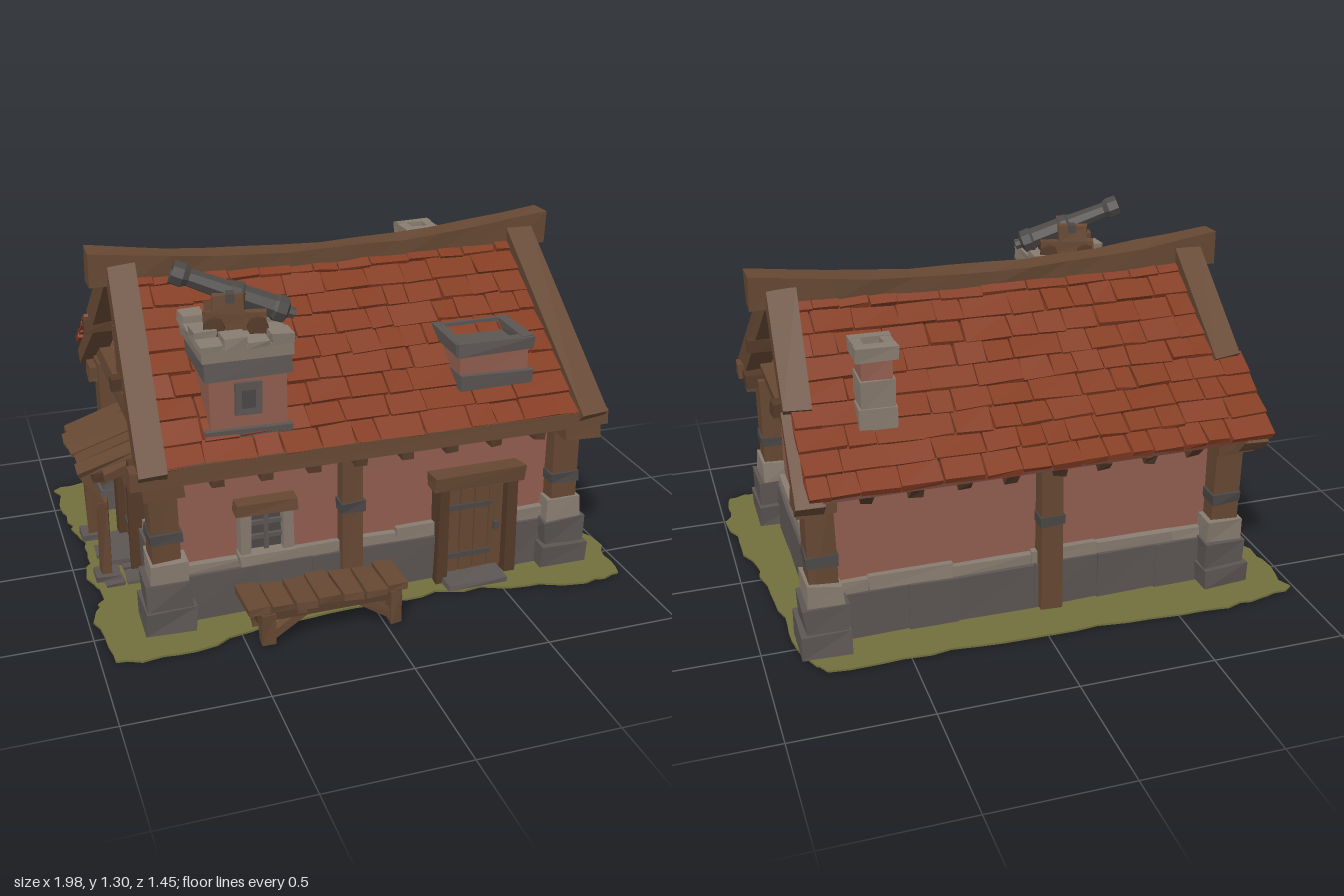
import * as THREE from 'three';
import { mergeGeometries } from 'three/addons/utils/BufferGeometryUtils.js';

const mat = (name, color, side = THREE.FrontSide) => {
  const m = new THREE.MeshStandardMaterial({ color, side });
  m.name = name;
  return m;
};
const M = {
  tile: mat('roof tile', 0x843c22),
  gap: mat('roof underside', 0x54281a, THREE.DoubleSide),
  pink: mat('pink render', 0x925e50),
  wood: mat('timber', 0x664833),
  dark: mat('dark timber', 0x543a29),
  stone: mat('dark stone', 0x5c5653),
  pale: mat('pale stone', 0x887c70),
  plaster: mat('plaster', 0x82776c, THREE.DoubleSide),
  iron: mat('iron', 0x4b4846),
  grass: mat('grass', 0x72703d, THREE.DoubleSide),
};

export function createModel() {
  const root = new THREE.Group();
  root.name = 'house';
  let seed = 7;
  const rnd = () => (seed = (seed * 16807) % 2147483647) / 2147483647;
  const jit = (a) => (rnd() - 0.5) * 2 * a;

  // Uneven, hand-cut look: every corner moves a little, faces stay joined
  const hew = (geo, a) => {
    const g = geo.index ? geo.toNonIndexed() : geo, p = g.attributes.position, seen = {};
    for (let i = 0; i < p.count; i++) {
      const k = [p.getX(i), p.getY(i), p.getZ(i)].map((v) => v.toFixed(4)).join();
      const d = (seen[k] ??= [jit(a), jit(a), jit(a)]);
      p.setXYZ(i, p.getX(i) + d[0], p.getY(i) + d[1], p.getZ(i) + d[2]);
    }
    g.computeVertexNormals();
    return g;
  };
  const add = (parent, name, geo, material) => {
    const m = new THREE.Mesh(geo, material);
    m.name = name;
    parent.add(m);
    return m;
  };
  const group = (name, parent = root) => {
    const g = new THREE.Group();
    g.name = name;
    parent.add(g);
    return g;
  };
  // Box given by its ranges on x, y and z
  const span = (parent, name, m, x0, x1, y0, y1, z0, z1, a = 0) => {
    const g = hew(new THREE.BoxGeometry(x1 - x0, y1 - y0, z1 - z0), a);
    g.translate((x0 + x1) / 2, (y0 + y1) / 2, (z0 + z1) / 2);
    return add(parent, name, g, m);
  };
  // Beam from point a to point b
  const beam = (parent, name, m, a, b, w, h, j = 0.005) => {
    const A = new THREE.Vector3(...a), B = new THREE.Vector3(...b);
    const mesh = add(parent, name, hew(new THREE.BoxGeometry(w, h, A.distanceTo(B)), j), m);
    mesh.position.copy(A).add(B).multiplyScalar(0.5);
    mesh.lookAt(B);
    return mesh;
  };

  // Grass ring around the open floor
  const edge = [[-0.97, -0.67], [-0.85, -0.7], [-0.6, -0.72], [-0.1, -0.69], [0.35, -0.68], [0.8, -0.67], [0.87, -0.55],
    [0.88, -0.3], [0.92, 0], [0.96, 0.25], [0.99, 0.48], [0.95, 0.68], [0.8, 0.69], [0.6, 0.65], [0.3, 0.59], [0, 0.59],
    [-0.4, 0.61], [-0.75, 0.69], [-0.95, 0.67], [-0.98, 0.4], [-0.93, 0.25], [-0.95, 0.1], [-0.92, -0.1], [-0.95, -0.3], [-0.97, -0.5]];
  const pts = edge.flatMap(([x, z], i) => {
    const [nx, nz] = edge[(i + 1) % edge.length];
    return [0, 0.2, 0.4, 0.6, 0.8].map((t) => new THREE.Vector2(x + (nx - x) * t + jit(0.012), -(z + (nz - z) * t + jit(0.012))));
  });
  const lawn = new THREE.Shape(pts);
  lawn.holes.push(new THREE.Path([[-0.68, 0.44], [0.7, 0.44], [0.7, -0.43], [-0.68, -0.43]].map((p) => new THREE.Vector2(...p))));
  add(root, 'grass', new THREE.ExtrudeGeometry(lawn, { depth: 0.008, bevelEnabled: false }).rotateX(-Math.PI / 2), M.grass);

  // Walls, with a stone lining inside
  const walls = group('walls');
  const XL = -0.72, XR = 0.75, ZB = -0.48, ZF = 0.47;
  span(walls, 'frontWall', M.pink, XL, XR, 0.2, 0.7, ZF - 0.02, ZF);
  span(walls, 'backWall', M.pink, XL, XR, 0.2, 0.72, ZB, ZB + 0.02);
  span(walls, 'leftWall', M.pink, XL, XL + 0.02, 0.2, 0.64, ZB, ZF);
  span(walls, 'rightWall', M.pink, XR - 0.02, XR, 0.2, 0.64, ZB, ZF);
  span(walls, 'frontLining', M.stone, XL + 0.02, XR - 0.02, 0, 0.64, ZF - 0.03, ZF - 0.02);
  span(walls, 'backLining', M.stone, XL + 0.02, XR - 0.02, 0, 0.64, ZB + 0.02, ZB + 0.03);
  span(walls, 'leftLining', M.stone, XL + 0.02, XL + 0.03, 0, 0.64, ZB + 0.02, ZF - 0.02);
  span(walls, 'rightLining', M.stone, XR - 0.03, XR - 0.02, 0, 0.64, ZB + 0.02, ZF - 0.02);
  span(walls, 'ceiling', M.stone, XL + 0.02, XR - 0.02, 0.63, 0.64, ZB + 0.02, ZF - 0.02);

  // Stone footing: dark courses and one pale course on each side
  const footing = group('footing');
  const courses = [[0.01, 0.19, M.stone, 0.035], [0.19, 0.235, M.pale, 0.025]];
  for (const [y0, y1, m, out] of courses) {
    const run = (from, to, place) => {
      for (let a = from; a < to - 0.01;) {
        let b = a + 0.16 + rnd() * 0.18;
        if (to - b < 0.1) b = to;
        place(a, b, y1 + (m === M.pale ? jit(0.01) : 0));
        a = b;
      }
    };
    run(XL, 0.28, (a, b, y) => span(footing, 'frontStone', m, a, b, y0, y, ZF - 0.02, ZF + out, 0.003));
    run(0.57, XR, (a, b, y) => span(footing, 'frontStone', m, a, b, y0, y, ZF - 0.02, ZF + out, 0.003));
    run(XL, XR, (a, b, y) => span(footing, 'backStone', m, a, b, y0, y, ZB - out, ZB + 0.02, 0.003));
    run(ZB, ZF, (a, b, y) => span(footing, 'rightStone', m, XR - 0.02, XR + out, y0, y, a, b, 0.003));
    run(ZB, ZF, (a, b, y) => span(footing, 'leftStone', m, XL - out, XL + 0.02, y0, y, a, b, 0.003));
  }

  // Corner posts on stone bases, and middle posts
  const frame = group('timberFrame');
  for (const x of [-0.735, 0.775]) for (const z of [-0.505, 0.475]) {
    span(frame, 'cornerPost', M.wood, x - 0.05, x + 0.05, 0.2, 0.64, z - 0.052, z + 0.052, 0.006);
    span(frame, 'postBand', M.iron, x - 0.057, x + 0.057, 0.35, 0.39, z - 0.06, z + 0.06, 0.004);
    span(frame, 'lowerBaseStone', M.stone, x - 0.088, x + 0.088, 0.014, 0.1, z - 0.093, z + 0.093, 0.008);
    span(frame, 'upperBaseStone', M.stone, x - 0.077, x + 0.077, 0.1, 0.2, z - 0.08, z + 0.08, 0.008);
    span(frame, 'baseCap', M.pale, x - 0.066, x + 0.066, 0.19, 0.28, z - 0.07, z + 0.07, 0.008);
  }
  for (const z of [ZF + 0.02, ZB - 0.02]) {
    span(frame, 'middlePost', M.wood, -0.1, -0.02, 0.014, 0.62, z - 0.04, z + 0.04, 0.006);
    span(frame, 'middlePostBand', M.iron, -0.107, -0.013, 0.36, 0.4, z - 0.046, z + 0.046, 0.004);
  }

  // Gable ends with plaster, tie beam, studs and braces
  const gable = new THREE.Shape([[-0.52, 0.64], [0.58, 0.64], [0.03, 1.13]].map((p) => new THREE.Vector2(...p)));
  for (const [x, s] of [[0.73, 1], [-0.7, -1]]) {
    const g = group(s > 0 ? 'rightGable' : 'leftGable');
    add(g, 'gablePlaster', new THREE.ShapeGeometry(gable).rotateY(Math.PI / 2), M.plaster).position.x = x;
    const bx = x + s * 0.025;
    beam(g, 'tieBeam', M.wood, [bx + s * 0.01, 0.66, 0.56], [bx + s * 0.01, 0.66, -0.6], 0.08, 0.06);
    beam(g, 'stud', M.wood, [bx, 0.68, 0.13], [bx, 1.0, 0.14], 0.05, 0.05);
    beam(g, 'stud', M.wood, [bx, 0.68, -0.21], [bx, 1.0, -0.19], 0.05, 0.05);
    beam(g, 'brace', M.wood, [bx, 0.7, 0.13], [bx, 0.87, 0.25], 0.04, 0.035);
    beam(g, 'brace', M.wood, [bx, 0.72, -0.22], [bx, 0.87, -0.33], 0.04, 0.035);
    const ridgeX = s > 0 ? 0.785 : -0.75, eaveX = s > 0 ? 0.82 : -0.785, midX = (ridgeX + eaveX) / 2;
    beam(g, 'frontRafter', M.wood, [ridgeX, 1.165, -0.02], [eaveX, 0.633, 0.61], 0.1, 0.085);
    beam(g, 'backRafterUpper', M.wood, [ridgeX, 1.165, -0.05], [midX, 0.845, -0.39], 0.1, 0.085);
    beam(g, 'backRafterLower', M.wood, [midX, 0.84, -0.37], [eaveX, 0.615, -0.64], 0.1, 0.06);
    for (const z of [0.27, -0.33])
      span(g, 'purlinEnd', M.dark, Math.min(x, x + s * 0.15), Math.max(x, x + s * 0.15), 0.83, 0.88, z - 0.025, z + 0.025, 0.004);
  }

  // Ridge beam, sagging in the middle
  const rise = (x) => 0.065 * ((x - 0.02) / 0.88) ** 2;
  const ridge = new THREE.BoxGeometry(1.76, 1, 0.1, 12, 1, 1);
  const rp = ridge.attributes.position;
  for (let i = 0; i < rp.count; i++) {
    const x = rp.getX(i) + 0.018;
    rp.setXYZ(i, x, 1.177 + rise(x) - (rp.getY(i) < 0 ? 0.06 + rise(x) : 0), rp.getZ(i) - 0.035);
  }
  add(root, 'ridgeBeam', hew(ridge, 0.004), M.wood);

  // Roof slopes: t runs from ridge (0) to eave (1)
  const roof = group('roof');
  const slope = (s, x, t) => new THREE.Vector3(x,
    1.15 + (0.655 - 1.15) * t + rise(x) * 0.3 * (1 - t) - (s < 0 ? 0.015 * Math.sin(Math.PI * t) - 0.012 * t : 0),
    -0.035 + t * (s > 0 ? 0.635 : -0.64));
  for (const s of [1, -1]) {
    const base = new THREE.PlaneGeometry(1.52, 1, 10, 6);
    const bp = base.attributes.position;
    for (let i = 0; i < bp.count; i++) {
      const p = slope(s, bp.getX(i) + 0.02, 0.5 - bp.getY(i));
      bp.setXYZ(i, p.x, p.y - 0.016, p.z);
    }
    base.computeVertexNormals();
    add(roof, 'roofBoards', base, M.gap);
    const tiles = [], rows = 9, helper = new THREE.Object3D();
    for (let r = 0; r < rows; r++) {
      const t = (r + 0.5) / rows;
      const x0 = s > 0 ? -0.74 : t > 0.6 ? -0.84 : -0.74, x1 = s > 0 ? 0.78 : t > 0.6 ? 0.83 : 0.79;
      for (let x = x0; x < x1 - 0.02;) {
        let w = 0.08 + rnd() * 0.11;
        if (x1 - x - w < 0.06) w = x1 - x;
        const c = x + w / 2;
        helper.position.copy(slope(s, c, t));
        helper.lookAt(slope(s, c, t + 0.1));
        helper.rotateX(-0.12 + jit(0.04));
        helper.updateMatrix();
        tiles.push(hew(new THREE.BoxGeometry(w - 0.005, 0.024, 0.093 + jit(0.006)), 0.004).applyMatrix4(helper.matrix));
        x += w;
      }
    }
    add(roof, s > 0 ? 'frontTiles' : 'backTiles', mergeGeometries(tiles), M.tile);
  }

  // Eaves: front beam, wall plates, rafter tails
  span(roof, 'frontEaveBeam', M.wood, -0.86, 0.89, 0.605, 0.67, 0.54, 0.615, 0.005);
  span(roof, 'backWallPlate', M.dark, -0.74, 0.78, 0.61, 0.64, -0.5, -0.47, 0.003);
  span(roof, 'frontWallPlate', M.dark, -0.84, 0.87, 0.6, 0.65, 0.45, 0.54, 0.004);
  for (const x of [-0.75, 0.79]) for (const z of [-0.53, 0.56])
    span(roof, 'plateEnd', M.wood, x - 0.07, x + 0.07, 0.56, 0.615, z - 0.055, z + 0.055, 0.005);
  for (let i = 0; i < 8; i++) {
    const x = -0.56 + i * 0.17;
    span(roof, 'frontRafterTail', M.dark, x - 0.022, x + 0.022, 0.57, 0.61, 0.46, 0.59, 0.003);
    beam(roof, 'backRafterTail', M.dark, [x, 0.705, -0.48], [x, 0.615, -0.63], 0.045, 0.045);
  }

  // Barred window with stone frame
  const win = group('frontWindow');
  span(win, 'windowPane', M.iron, -0.43, -0.31, 0.24, 0.41, 0.43, 0.48);
  for (const x of [-0.45, -0.295]) span(win, 'windowJamb', M.pale, x - 0.02, x + 0.02, 0.22, 0.41, 0.45, 0.515, 0.004);
  span(win, 'windowSill', M.pale, -0.475, -0.27, 0.21, 0.25, 0.45, 0.53, 0.004);
  span(win, 'windowLintel', M.wood, -0.485, -0.265, 0.41, 0.45, 0.45, 0.53, 0.005);
  span(win, 'windowBar', M.stone, -0.378, -0.362, 0.25, 0.41, 0.42, 0.495);
  for (const y of [0.3, 0.355]) span(win, 'windowCrossbar', M.stone, -0.43, -0.31, y - 0.008, y + 0.008, 0.42, 0.493);

  // Doors; local x runs across the doorway, +z faces outside
  const door = (name, x, z, turn, wide) => {
    const d = group(name), h = wide / 2;
    for (let i = 0; i < 4; i++) span(d, 'doorPlank', M.wood, -h + i * wide / 4, -h + (i + 1) * wide / 4 - 0.004, 0.03, 0.37, -0.03, 0.02, 0.002);
    for (const sx of [-1, 1]) span(d, 'doorJamb', M.dark, sx * (h + 0.02) - 0.022, sx * (h + 0.02) + 0.022, 0.012, 0.41, -0.03, 0.05, 0.005);
    span(d, 'doorLintel', M.wood, -h - 0.06, h + 0.06, 0.39, 0.45, -0.03, 0.06, 0.007);
    for (const y of [0.1, 0.3]) span(d, 'doorStrap', M.iron, -h, h - 0.05, y - 0.01, y + 0.01, 0.018, 0.026);
    span(d, 'doorHandle', M.iron, h - 0.04, h - 0.02, 0.19, 0.22, 0.018, 0.035);
    span(d, 'doorStep', M.stone, -h - 0.02, h - 0.02, 0.012, 0.035, 0, 0.12, 0.004);
    d.position.set(x, 0, z);
    d.rotation.y = turn;
  };
  door('frontDoor', 0.425, 0.49, 0, 0.23);
  door('sideDoor', -0.74, -0.05, -Math.PI / 2, 0.23);

  // Plank bench on trestles below the window
  const bench = group('bench');
  for (let i = 0; i < 7; i++) {
    const x = -0.5 + i * 0.085;
    span(bench, 'benchPlank', M.wood, x, x + 0.076, 0.125, 0.15, 0.55 + jit(0.01), 0.72 + jit(0.012), 0.004);
  }
  for (const z of [0.58, 0.7]) {
    span(bench, 'benchRail', M.dark, -0.47, 0.06, 0.095, 0.125, z - 0.015, z + 0.015, 0.003);
    for (const [x, s] of [[-0.43, 1], [0.04, -1]]) {
      span(bench, 'benchLeg', M.wood, x - 0.025, x + 0.025, 0, 0.12, z - 0.025, z + 0.025, 0.006);
      beam(bench, 'benchBrace', M.wood, [x, 0.02, z], [x + s * 0.14, 0.11, z], 0.03, 0.03, 0.003);
    }
  }
  for (const x of [-0.43, 0.04]) {
    beam(bench, 'trestleBrace', M.wood, [x, 0.03, 0.7], [x, 0.11, 0.58], 0.03, 0.025, 0.003);
    beam(bench, 'trestleRail', M.dark, [x, 0.11, 0.56], [x, 0.11, 0.72], 0.03, 0.03, 0.003);
  }

  // Porch over the side door
  const porch = group('porch');
  for (let i = 0; i < 5; i++) {
    const z = -0.24 + i * 0.09;
    beam(porch, 'porchPlank', M.wood, [-0.975 + rnd() * 0.02, 0.465, z], [-0.74, 0.535, z + jit(0.01)], 0.085, 0.022);
  }
  beam(porch, 'porchBeam', M.dark, [-0.9, 0.45, -0.28], [-0.9, 0.45, 0.16], 0.04, 0.04);
  for (const z of [-0.22, 0.11]) {
    span(porch, 'porchPost', M.wood, -0.905, -0.865, 0.03, 0.33, z - 0.022, z + 0.022, 0.005);
    beam(porch, 'porchStrut', M.wood, [-0.885, 0.31, z], [-0.95, 0.45, z], 0.035, 0.035);
    beam(porch, 'porchBracket', M.wood, [-0.885, 0.42, z], [-0.73, 0.48, z], 0.035, 0.03);
    span(porch, 'porchPostStone', M.stone, -0.93, -0.84, 0.012, 0.035, z - 0.045, z + 0.045, 0.004);
  }
  for (let i = 0; i < 6; i++) {
    const x = -0.9 + (i % 2) * 0.08, z = -0.12 + Math.floor(i / 2) * 0.11;
    span(porch, 'pavingStone', M.stone, x, x + 0.07, 0.008, 0.02, z, z + 0.09, 0.004);
  }

  // Small roof tower with a stone crown
  const tower = group('roofTower');
  span(tower, 'towerBody', M.pink, -0.565, -0.295, 0.7, 0.95, 0.25, 0.52, 0.003);
  span(tower, 'towerSill', M.stone, -0.58, -0.28, 0.705, 0.745, 0.36, 0.535, 0.005);
  span(tower, 'towerBand', M.stone, -0.58, -0.285, 0.935, 1.0, 0.235, 0.545, 0.006);
  span(tower, 'towerFloor', M.pale, -0.595, -0.28, 1.0, 1.045, 0.225, 0.555, 0.004);
  for (let i = 0; i < 4; i++) for (let k = 0; k < 4; k++) {
    if (i % 3 && k % 3) continue;
    const x = -0.598 + i * 0.081, z = 0.222 + k * 0.085, top = (i + k) % 2 ? 1.06 : 1.08;
    span(tower, 'crownStone', M.pale, x, x + 0.077, 1.04, top, z, z + 0.081, 0.004);
  }
  span(tower, 'towerWindowFrame', M.stone, -0.48, -0.385, 0.795, 0.91, 0.5, 0.535, 0.003);
  span(tower, 'towerWindowPane', M.iron, -0.455, -0.41, 0.82, 0.885, 0.53, 0.54);

  // Cannon on a wheeled carriage; local -x is the muzzle end
  const cannon = group('cannon');
  cannon.position.set(-0.44, 1.045, 0.38);
  cannon.rotation.y = -0.24;
  const profile = [[0, 0], [0.02, 0.004], [0.02, 0.025], [0.046, 0.035], [0.049, 0.07], [0.042, 0.08], [0.04, 0.19], [0.045, 0.2],
    [0.045, 0.225], [0.037, 0.235], [0.032, 0.38], [0.043, 0.4], [0.042, 0.44], [0.022, 0.44], [0.02, 0.39], [0, 0.39]];
  const barrel = new THREE.LatheGeometry(profile.map((p) => new THREE.Vector2(...p)), 8).toNonIndexed();
  barrel.computeVertexNormals();
  const tube = add(cannon, 'barrel', barrel, M.iron);
  tube.position.set(0.21, 0.05, 0);
  tube.rotation.z = 1.2;
  for (const z of [-0.056, 0.056]) {
    span(cannon, 'carriageCheek', M.wood, -0.1, 0.11, 0.02, 0.085, z - 0.015, z + 0.015, 0.004);
    span(cannon, 'carriageStep', M.wood, -0.07, 0.04, 0.08, 0.145, z - 0.015, z + 0.015, 0.005);
    for (const x of [-0.065, 0.08])
      add(cannon, 'carriageWheel', new THREE.CylinderGeometry(0.036, 0.036, 0.024, 8).rotateX(Math.PI / 2), M.dark)
        .position.set(x, 0.036, z * 1.45);
  }
  span(cannon, 'carriageBed', M.dark, -0.09, 0.11, 0.025, 0.05, -0.05, 0.05);
  span(cannon, 'trunnion', M.iron, -0.025, 0.005, 0.12, 0.15, -0.078, 0.078);

  // Roof hatch: open box with a stone rim
  const hatch = group('roofHatch');
  span(hatch, 'hatchBody', M.pink, 0.35, 0.615, 0.76, 0.895, 0.25, 0.49, 0.003);
  span(hatch, 'hatchSill', M.stone, 0.345, 0.625, 0.765, 0.815, 0.4, 0.505, 0.005);
  for (const z of [0.24, 0.46]) span(hatch, 'hatchRim', M.stone, 0.335, 0.63, 0.89, 0.935, z, z + 0.04, 0.004);
  for (const x of [0.335, 0.59]) span(hatch, 'hatchRim', M.stone, x, x + 0.04, 0.89, 0.935, 0.25, 0.49, 0.004);
  span(hatch, 'hatchFloor', M.stone, 0.37, 0.6, 0.89, 0.9, 0.27, 0.47);

  // Chimney
  const chimney = group('chimney');
  span(chimney, 'chimneyFoot', M.pale, 0.48, 0.612, 0.72, 0.88, -0.5, -0.365, 0.004);
  span(chimney, 'chimneyShaft', M.pale, 0.487, 0.605, 0.87, 0.98, -0.493, -0.37, 0.003);
  span(chimney, 'chimneyBand', M.pink, 0.49, 0.6, 0.97, 1.055, -0.485, -0.375, 0.003);
  for (const z of [-0.5, -0.4]) span(chimney, 'chimneyCap', M.pale, 0.475, 0.62, 1.05, 1.1, z, z + 0.04, 0.003);
  for (const x of [0.475, 0.58]) span(chimney, 'chimneyCap', M.pale, x, x + 0.04, 1.05, 1.1, -0.48, -0.38, 0.003);
  span(chimney, 'flue', M.iron, 0.5, 0.595, 1.05, 1.065, -0.475, -0.385);
  return root;
}
